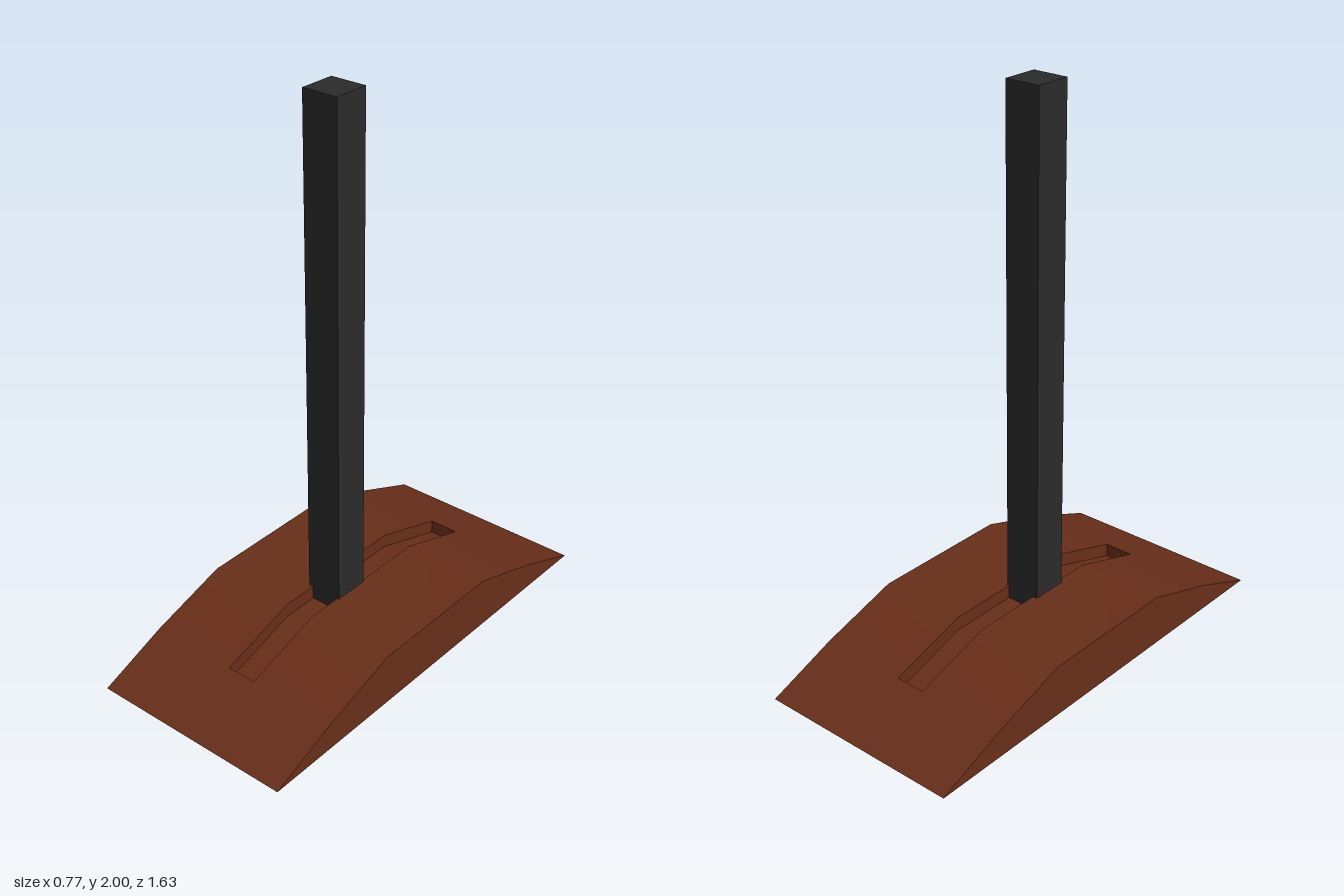
import * as THREE from 'three';
import { toCreasedNormals } from 'three/addons/utils/BufferGeometryUtils.js';

const HALF_WIDTH = 0.385, SLOT = 0.055, SLOT_DEPTH = 0.05;
// Arched side profile of the base as [z, y], back to front
const PROFILE = [[-0.815, 0], [-0.56, 0.1], [-0.27, 0.19], [0.27, 0.19], [0.56, 0.1], [0.815, 0]];

function baseGeometry() {
  const pos = [];
  const quad = (a, b, c, d) => pos.push(...a, ...b, ...c, ...a, ...c, ...d);
  // Strip across x, facing up
  const strip = (x0, x1, [z0, y0], [z1, y1], drop = 0) =>
    quad([x0, y0 - drop, z0], [x0, y1 - drop, z1], [x1, y1 - drop, z1], [x1, y0 - drop, z0]);
  // Upright wall at x, facing +x or -x, between a lower and an upper edge
  const wall = (x, facing, z0, low0, top0, z1, low1, top1) => {
    const q = [[x, top0, z0], [x, top1, z1], [x, low1, z1], [x, low0, z0]];
    quad(...(facing > 0 ? q : q.reverse()));
  };

  for (let i = 0; i < PROFILE.length - 1; i++) {
    const p = PROFILE[i], q = PROFILE[i + 1];
    const inSlot = i > 0 && i < PROFILE.length - 2;
    // Curved top, with the middle strip sunk where the slot runs
    strip(-HALF_WIDTH, -SLOT, p, q);
    strip(-SLOT, SLOT, p, q, inSlot ? SLOT_DEPTH : 0);
    strip(SLOT, HALF_WIDTH, p, q);
    for (const side of [-1, 1]) {
      // Outer side, then slot side
      wall(side * HALF_WIDTH, side, p[0], 0, p[1], q[0], 0, q[1]);
      if (inSlot) {
        wall(side * SLOT, -side, p[0], p[1] - SLOT_DEPTH, p[1], q[0], q[1] - SLOT_DEPTH, q[1]);
      }
    }
  }

  // End walls of the slot, facing inward
  for (const end of [-1, 1]) {
    const z = end * 0.56, top = 0.1, low = top - SLOT_DEPTH, x = end * SLOT;
    quad([-x, low, z], [-x, top, z], [x, top, z], [x, low, z]);
  }
  // Underside
  const w = HALF_WIDTH, l = PROFILE[5][0];
  quad([-w, 0, -l], [w, 0, -l], [w, 0, l], [-w, 0, l]);

  const geometry = new THREE.BufferGeometry();
  geometry.setAttribute('position', new THREE.Float32BufferAttribute(pos, 3));
  geometry.computeVertexNormals();
  return toCreasedNormals(geometry, Math.PI / 6);
}

export function createModel() {
  const group = new THREE.Group();
  group.name = 'lever';

  // Arched base with a guide slot
  const base = new THREE.Mesh(baseGeometry(), new THREE.MeshStandardMaterial({ color: 0x682e19 }));
  base.name = 'slottedBase';
  group.add(base);

  // Square upright handle standing in the slot
  const bottom = 0.11, height = 2 - bottom;
  const handle = new THREE.Mesh(
    new THREE.BoxGeometry(0.134, height, 0.134),
    new THREE.MeshStandardMaterial({ color: 0x2b2b2c })
  );
  handle.name = 'handle';
  handle.position.set(-0.005, bottom + height / 2, 0.064);
  group.add(handle);

  return group;
}
